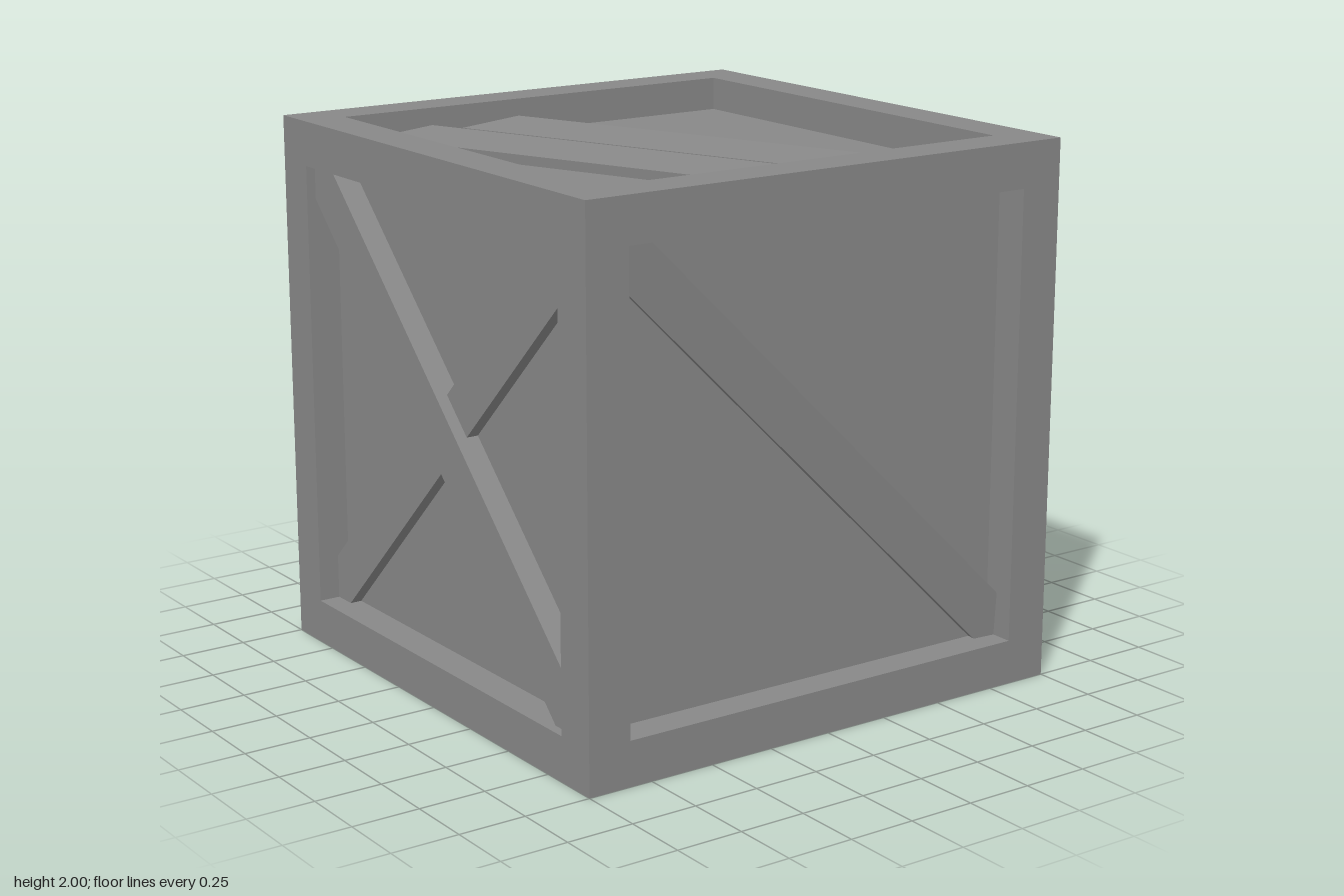
import * as THREE from 'three';

const OPEN = 0.835;            // half width of each frame opening
const PANEL = 0.875;           // distance of the panels from the centre
const BEAM = 1 - OPEN;
const THICK = 0.05;
const TILT = 0.1;              // slight roll of the loosely nailed planks
const DEPTH = 0.12;            // planks are sunk into the panel

const material = new THREE.MeshStandardMaterial({ color: 0x888888, flatShading: true });

function addBox(parent, name, w, h, d, x, y, z) {
  const mesh = new THREE.Mesh(new THREE.BoxGeometry(w, h, d), material);
  mesh.name = name;
  mesh.position.set(x, y, z);
  parent.add(mesh);
}

// Plank cut from an outline in face coordinates (u right, v up, face centre = 0)
function addPlank(face, name, outline, thick = THICK) {
  const shape = new THREE.Shape(outline.map(([u, v]) => new THREE.Vector2(u, v)));
  const geo = new THREE.ExtrudeGeometry(shape, { depth: DEPTH, bevelEnabled: false });
  geo.translate(0, 0, -DEPTH);
  const mesh = new THREE.Mesh(geo, material);
  mesh.name = name;
  mesh.position.z = PANEL + thick;
  face.add(mesh);
  return mesh;
}

// Roll a plank about its own length
function roll(mesh, du, dv) {
  mesh.rotateOnAxis(new THREE.Vector3(du, dv, 0).normalize(), TILT);
}

const level = (v0, v1) => [[-OPEN, v0], [OPEN, v0], [OPEN, v1], [-OPEN, v1]];

// Corner-to-corner brace trimmed to the opening
const brace = [
  [-OPEN, OPEN], [-OPEN, 0.71], [0.745, -OPEN],
  [OPEN, -OPEN], [OPEN, -0.67], [-0.71, OPEN],
];
const mirrored = brace.map(([u, v]) => [-u, v]);

export function createModel() {
  const crate = new THREE.Group();
  crate.name = 'crate';
  const body = new THREE.Group();
  body.name = 'body';
  body.position.y = 1;
  crate.add(body);

  // Recessed panels on all six sides
  addBox(body, 'panels', 2 * PANEL, 2 * PANEL, 2 * PANEL, 0, 0, 0);

  // Twelve frame beams
  const c = 1 - BEAM / 2;
  for (const a of [-c, c]) {
    for (const b of [-c, c]) {
      addBox(body, 'cornerPost', BEAM, 2, BEAM, a, 0, b);
      addBox(body, 'crossRail', 2 * OPEN, BEAM, BEAM, 0, a, b);
      addBox(body, 'sideRail', BEAM, BEAM, 2 * OPEN, a, b, 0);
    }
  }

  const addFace = (name, rx, ry) => {
    const face = new THREE.Group();
    face.name = name;
    face.rotation.set(rx, ry, 0);
    body.add(face);
    return face;
  };

  // Front: one diagonal brace, its upper edge raised
  roll(addPlank(addFace('frontFace', 0, 0), 'diagonalBrace', brace, 0.04), 0.7, -0.72);

  // +x side: one level plank
  addPlank(addFace('plankSide', 0, Math.PI / 2), 'levelPlank', level(-0.143, 0.09));

  // Back: two level planks
  const back = addFace('backFace', 0, Math.PI);
  addPlank(back, 'lowerPlank', level(-0.54, -0.3));
  addPlank(back, 'upperPlank', level(0.29, 0.525));

  // -x side: crossed braces, one lying over the other
  const crossed = addFace('crossedSide', 0, -Math.PI / 2);
  addPlank(crossed, 'underBrace', mirrored, 0.045);
  addPlank(crossed, 'overBrace', brace, 0.09);

  // Top: two slanted planks, their right edges raised
  const top = addFace('topFace', -Math.PI / 2, 0);
  const run = 0.335, half = 0.125;
  for (const u of [-0.255, 0.126]) {
    const plank = addPlank(top, 'slantedPlank', [
      [-run - half, OPEN], [run - half, -OPEN], [run + half, -OPEN], [-run + half, OPEN],
    ], 0.048);
    plank.position.x = u;
    roll(plank, run, -OPEN);
  }

  // Bottom: planks forming a plus
  const w = 0.12;
  addPlank(addFace('bottomFace', Math.PI / 2, 0), 'plusBrace', [
    [-w, -OPEN], [w, -OPEN], [w, -w], [OPEN, -w], [OPEN, w], [w, w],
    [w, OPEN], [-w, OPEN], [-w, w], [-OPEN, w], [-OPEN, -w], [-w, -w],
  ]);

  return crate;
}
